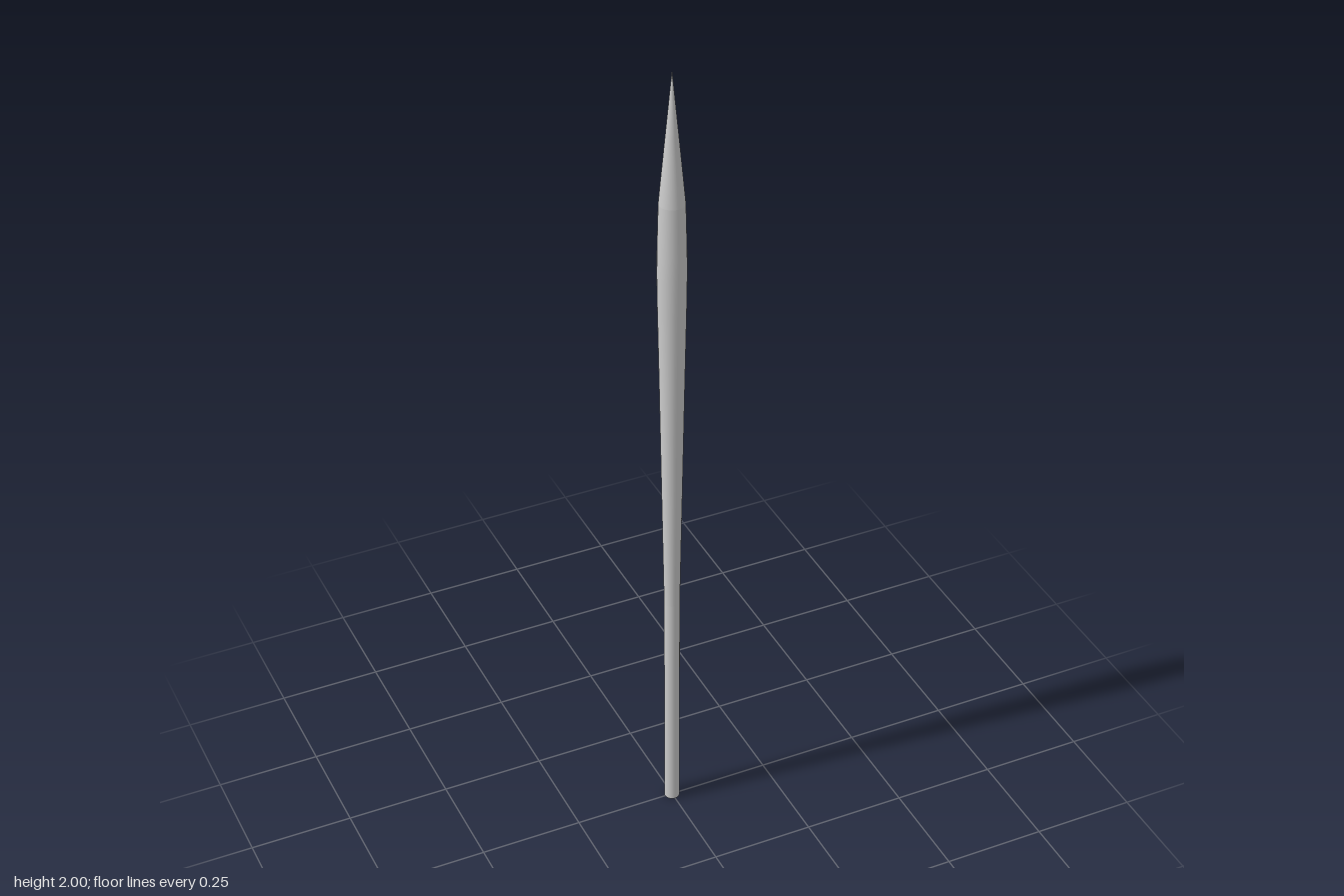
import * as THREE from 'three';

const SIDES = 32;
const material = new THREE.MeshStandardMaterial({ color: 0xcccccc });

// Surface of revolution from [radius, height] pairs, bottom to top
function turned(name, profile) {
  const points = profile.map(([r, y]) => new THREE.Vector2(r, y));
  const mesh = new THREE.Mesh(new THREE.LatheGeometry(points, SIDES), material);
  mesh.name = name;
  return mesh;
}

export function createModel() {
  const group = new THREE.Group();
  group.name = 'taperedSpike';

  // Flat foot closing the underside
  const base = new THREE.Mesh(new THREE.CircleGeometry(0.0185, SIDES), material);
  base.name = 'base';
  base.rotation.x = Math.PI / 2;
  group.add(base);

  // Straight lower shaft
  group.add(turned('shaft', [[0.0185, 0], [0.0185, 0.6]]));

  // Body swelling to its widest point, then drawing in to the shoulder
  group.add(turned('body', [
    [0.0185, 0.6], [0.0235, 0.9], [0.0285, 1.2],
    [0.0325, 1.42], [0.0335, 1.5], [0.033, 1.56], [0.03, 1.68],
  ]));

  // Pointed tip
  group.add(turned('tip', [[0.03, 1.68], [0.015, 1.84], [0, 2]]));

  return group;
}
